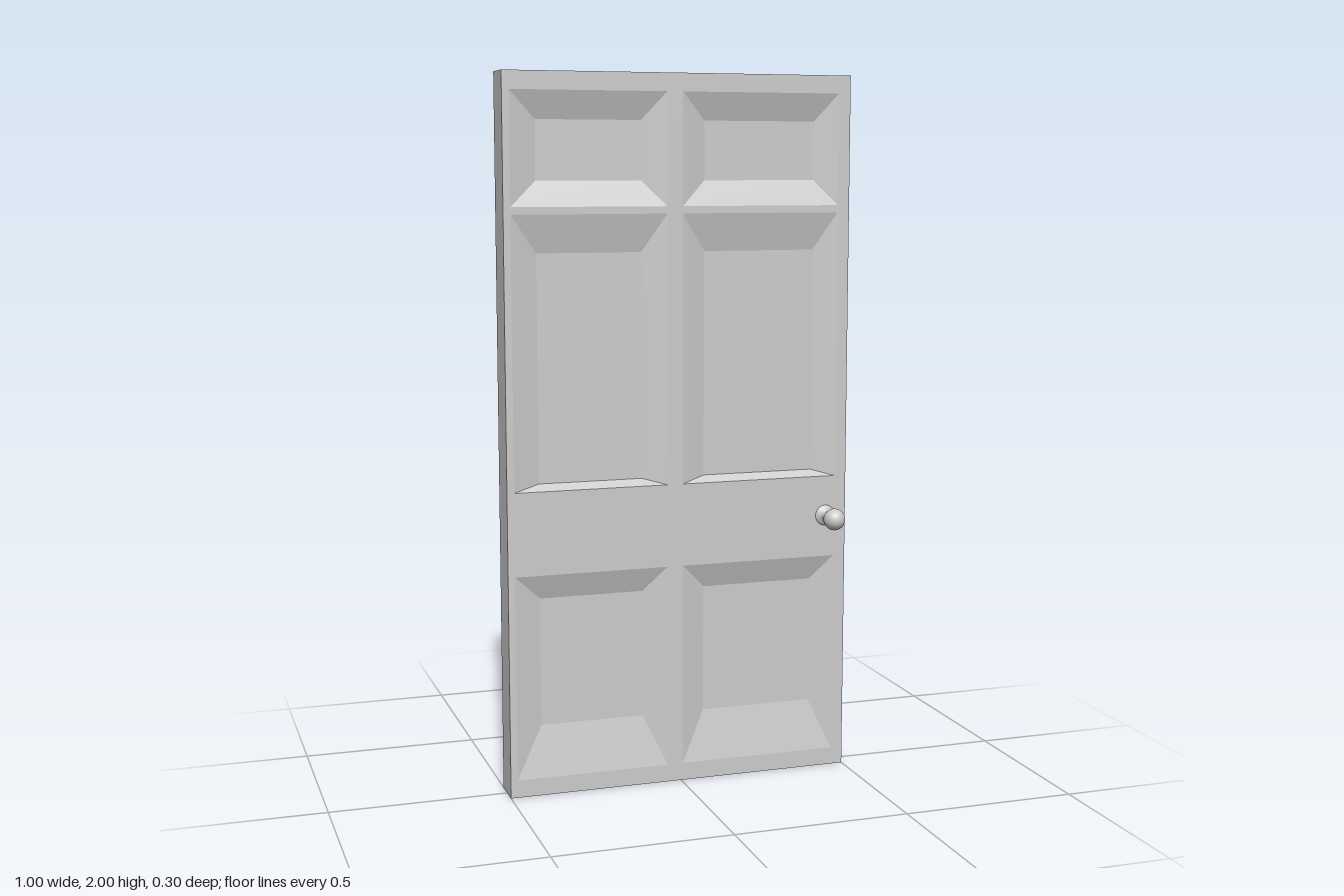
import * as THREE from 'three';

const HALF = 0.048;          // half thickness of the door
const DEPTH = 0.025;         // recess of the panels
const material = new THREE.MeshStandardMaterial({ color: 0xcccccc });

// Panel columns and rows: [outer start, inner start, inner end, outer end]
const columns = [
  { side: 'right', x: [-0.48, -0.405, -0.108, -0.04] },
  { side: 'left', x: [0.005, 0.075, 0.4, 0.465] },
];
const rows = [
  { level: 'lower', y: [0.05, 0.196, 0.56, 0.63] },
  { level: 'middle', y: [0.865, 0.883, 1.515, 1.62] },
  { level: 'upper', y: [1.64, 1.71, 1.873, 1.95] },
];

function addMesh(parent, geometry, name) {
  const mesh = new THREE.Mesh(geometry, material);
  mesh.name = name;
  parent.add(mesh);
  return mesh;
}

// Flat-faced copy reflected to the back, with its winding restored
function mirrorZ(geometry) {
  const source = geometry.index ? geometry.toNonIndexed() : geometry;
  const p = source.attributes.position;
  const points = [];
  for (let i = 0; i < p.count; i += 3) {
    for (const j of [i, i + 2, i + 1]) points.push(p.getX(j), p.getY(j), -p.getZ(j));
  }
  const result = new THREE.BufferGeometry();
  result.setAttribute('position', new THREE.Float32BufferAttribute(points, 3));
  result.computeVertexNormals();
  return result;
}

function corners([x0, x1], [y0, y1]) {
  return [[x0, y0], [x1, y0], [x1, y1], [x0, y1]];
}

// Recessed field with four sloping borders
function panelGeometry(x, y) {
  const outer = corners([x[0], x[3]], [y[0], y[3]]).map(c => [...c, HALF]);
  const inner = corners([x[1], x[2]], [y[1], y[2]]).map(c => [...c, HALF - DEPTH]);
  const points = [];
  const quad = (a, b, c, d) => points.push(...a, ...b, ...c, ...a, ...c, ...d);
  quad(...inner);
  for (let i = 0; i < 4; i++) {
    const j = (i + 1) % 4;
    quad(outer[i], outer[j], inner[j], inner[i]);
  }
  const geometry = new THREE.BufferGeometry();
  geometry.setAttribute('position', new THREE.Float32BufferAttribute(points, 3));
  geometry.computeVertexNormals();
  return geometry;
}

// Flat frame with an opening for every panel
function frameGeometry() {
  const toPoints = list => list.map(([x, y]) => new THREE.Vector2(x, y));
  const shape = new THREE.Shape(toPoints(corners([-0.5, 0.5], [0, 2])));
  for (const { x } of columns) {
    for (const { y } of rows) {
      shape.holes.push(new THREE.Path(toPoints(corners([x[0], x[3]], [y[0], y[3]]).reverse())));
    }
  }
  return new THREE.ShapeGeometry(shape).translate(0, 0, HALF);
}

// Rose, stem and ball, pointing along +z
function doorKnob(name) {
  const knob = new THREE.Group();
  knob.name = name;
  const profile = [[0.03, 0.046], [0.029, 0.05], [0.022, 0.054], [0.015, 0.058], [0.014, 0.064], [0.014, 0.095]]
    .map(([r, z]) => new THREE.Vector2(r, z));
  addMesh(knob, new THREE.LatheGeometry(profile, 32).rotateX(Math.PI / 2), 'knobStem');
  addMesh(knob, new THREE.SphereGeometry(0.031, 32, 20).translate(0, 0, 0.117), 'knobBall');
  knob.position.set(0.438, 0.75, 0);
  return knob;
}

export function createModel() {
  const door = new THREE.Group();
  door.name = 'door';

  // Narrow edges: a box without its front and back
  const edges = new THREE.BoxGeometry(1, 2, HALF * 2).translate(0, 1, 0);
  edges.setIndex(Array.from(edges.index.array).slice(0, 24));
  edges.clearGroups();
  addMesh(door, edges, 'doorEdges');

  // Front and back faces
  for (const face of ['front', 'back']) {
    const place = g => (face === 'front' ? g : mirrorZ(g));
    addMesh(door, place(frameGeometry()), `${face}Frame`);
    for (const { side, x } of columns) {
      for (const { level, y } of rows) {
        addMesh(door, place(panelGeometry(x, y)), `${face} ${level} ${side} panel`);
      }
    }
  }

  // Knobs on both sides
  const backKnob = doorKnob('backKnob');
  backKnob.rotation.y = Math.PI;
  door.add(doorKnob('frontKnob'), backKnob);
  return door;
}
